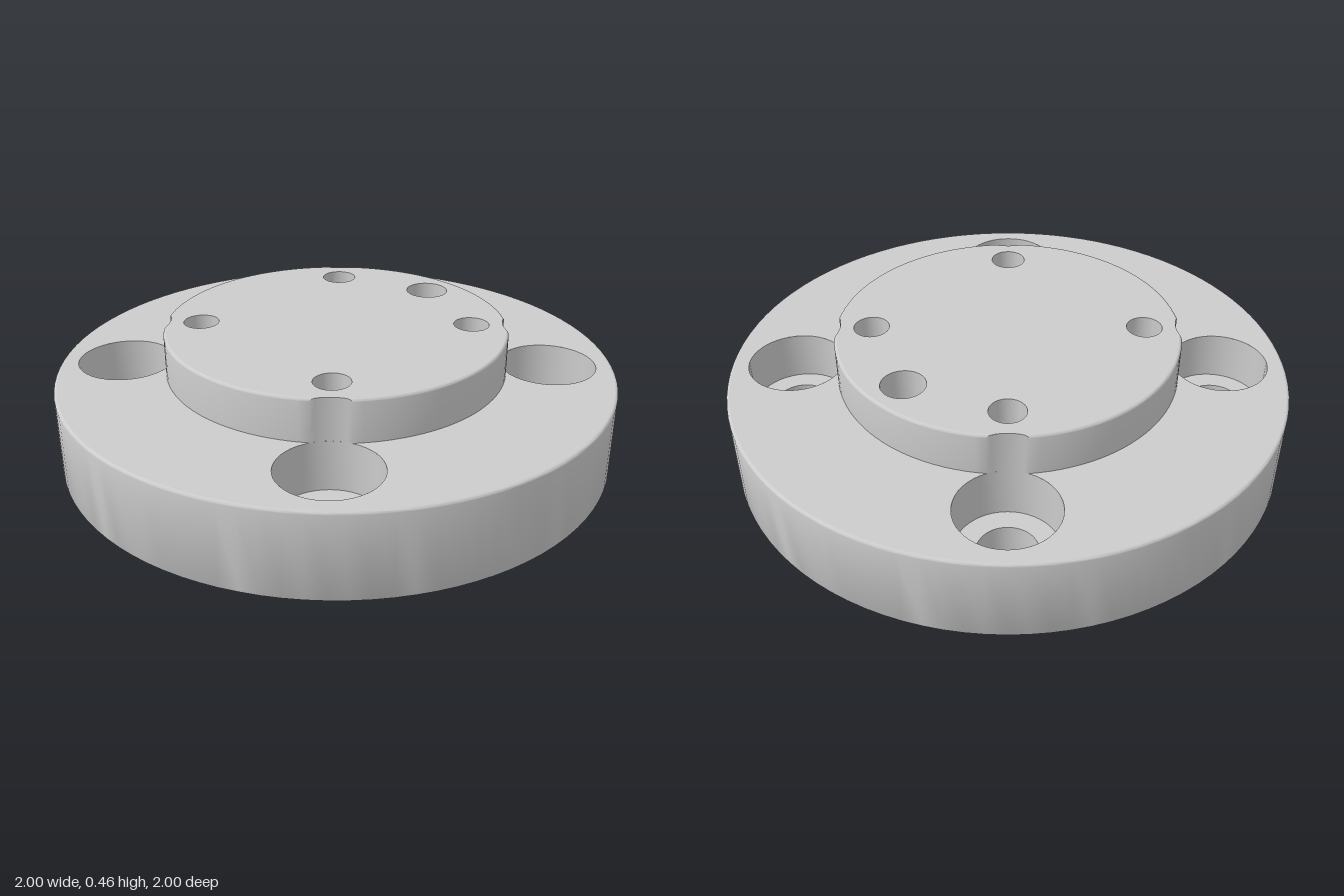
import * as THREE from 'three';
import { toCreasedNormals } from 'three/addons/utils/BufferGeometryUtils.js';

const DISC_R = 1, DISC_H = 0.307, BOSS_R = 0.612, TOP = 0.46, EDGE = 0.01;
const BOLT = 0.5425, BOLT_D = BOLT * Math.SQRT2, BOLT_R = 0.1, BORE_R = 0.172, BORE_FLOOR = 0.13;
const TAP = 0.342, TAP_R = 0.063;
const material = new THREE.MeshStandardMaterial({ color: 0xcccccc, side: THREE.DoubleSide });
const corners = [[1, 1], [-1, 1], [-1, -1], [1, -1]];

export function createModel() {
  const model = new THREE.Group();
  const add = (name, geometry, parent = model) => {
    const mesh = new THREE.Mesh(geometry, material);
    mesh.name = name;
    parent.add(mesh);
    return mesh;
  };

  const circle = (x, y, r, n = 48) => Array.from({ length: n }, (_, i) => {
    const a = (i / n) * Math.PI * 2;
    return new THREE.Vector2(x + r * Math.cos(a), y + r * Math.sin(a));
  });

  // Boss circle met by the four counterbores: sign -1 bites them out, +1 joins them on.
  // The circles must overlap: r > BOLT_D - BORE_R.
  const bossOutline = (r, sign) => {
    const pts = [];
    const a = (BOLT_D ** 2 + r ** 2 - BORE_R ** 2) / (2 * BOLT_D);
    const alpha = Math.acos(a / r);
    const beta = Math.atan2(r * Math.sin(alpha), BOLT_D - a);
    for (let k = 0; k < 4; k++) {
      const phi = Math.PI / 4 + (k * Math.PI) / 2;
      const from = phi - Math.PI / 2 + alpha, to = phi - alpha;
      for (let i = 0; i < 24; i++) {
        const t = from + ((to - from) * i) / 24;
        pts.push(new THREE.Vector2(r * Math.cos(t), r * Math.sin(t)));
      }
      const start = phi + Math.PI + beta;
      const sweep = sign < 0 ? -2 * beta : 2 * Math.PI - 2 * beta;
      const n = sign < 0 ? 8 : 40;
      for (let i = 0; i < n; i++) {
        const t = start + (sweep * i) / n;
        pts.push(new THREE.Vector2(
          BOLT_D * Math.cos(phi) + BORE_R * Math.cos(t),
          BOLT_D * Math.sin(phi) + BORE_R * Math.sin(t)));
      }
    }
    return pts;
  };

  // Flat face with holes, facing up or down
  const face = (outline, holes, y, up = true) => {
    const shape = new THREE.Shape(outline);
    shape.holes = holes.map((h) => new THREE.Path(h));
    return new THREE.ShapeGeometry(shape).rotateX(up ? -Math.PI / 2 : Math.PI / 2).translate(0, y, 0);
  };

  const lathe = (profile, segments) => toCreasedNormals(
    new THREE.LatheGeometry(profile.map((p) => new THREE.Vector2(...p)), segments), 0.6);

  // Disc: rounded rim, underside and top ring
  const disc = new THREE.Group();
  disc.name = 'baseDisc';
  model.add(disc);
  const rim = [];
  for (const [y, start] of [[EDGE, -Math.PI / 2], [DISC_H - EDGE, 0]]) {
    for (let i = 0; i <= 4; i++) {
      const t = start + (i / 4) * (Math.PI / 2);
      rim.push([DISC_R - EDGE + EDGE * Math.cos(t), y + EDGE * Math.sin(t)]);
    }
  }
  add('discRim', lathe(rim, 96), disc);
  const discEdge = circle(0, 0, DISC_R - EDGE, 96);
  const boltHoles = corners.map(([x, z]) => circle(x * BOLT, z * BOLT, BOLT_R));
  add('discUnderside', face(discEdge, [...boltHoles, circle(-0.775, 0, 0.09)], 0, false), disc);
  add('discTop', face(discEdge, [bossOutline(BOSS_R, 1)], DISC_H), disc);

  // Boss: notched wall lofted up through its rounded top edge
  const boss = new THREE.Group();
  boss.name = 'raisedBoss';
  model.add(boss);
  const rings = [[BOSS_R, DISC_H]];
  for (let i = 0; i <= 4; i++) {
    const t = (i / 4) * (Math.PI / 2);
    rings.push([BOSS_R - EDGE + EDGE * Math.cos(t), TOP - EDGE + EDGE * Math.sin(t)]);
  }
  const position = [], index = [];
  const n = bossOutline(BOSS_R, -1).length;
  rings.forEach(([r, y], j) => {
    bossOutline(r, -1).forEach((p, i) => {
      position.push(p.x, y, -p.y);
      if (j === 0) return;
      const a = (j - 1) * n + i, b = (j - 1) * n + ((i + 1) % n);
      index.push(a, b, b + n, a, b + n, a + n);
    });
  });
  const wall = new THREE.BufferGeometry();
  wall.setAttribute('position', new THREE.Float32BufferAttribute(position, 3));
  wall.setIndex(index);
  add('bossWall', toCreasedNormals(wall, 0.6), boss);
  const tapHoles = corners.map(([x, z]) => circle(x * TAP, z * TAP, TAP_R));
  add('bossTop', face(bossOutline(BOSS_R - EDGE, -1), [...tapHoles, circle(0.485, 0, 0.077)], TOP), boss);

  // Counterbored through holes and blind threaded holes
  const boltBore = lathe([[BORE_R, DISC_H], [BORE_R, BORE_FLOOR], [BOLT_R, BORE_FLOOR], [BOLT_R, 0]], 48);
  const tapBore = lathe([[TAP_R, TOP], [TAP_R, 0.15], [0, 0.15]], 48);
  for (const [x, z] of corners) {
    add('counterboredBoltHole', boltBore).position.set(x * BOLT, 0, z * BOLT);
    add('threadedHole', tapBore).position.set(x * TAP, 0, z * TAP);
  }

  // Blind dowel holes, one in the boss and one in the underside
  add('topDowelHole', lathe([[0.077, TOP], [0.077, 0.26], [0, 0.26]], 48)).position.x = 0.485;
  add('bottomDowelHole', lathe([[0, 0.19], [0.09, 0.19], [0.09, 0]], 48)).position.x = -0.775;

  return model;
}
